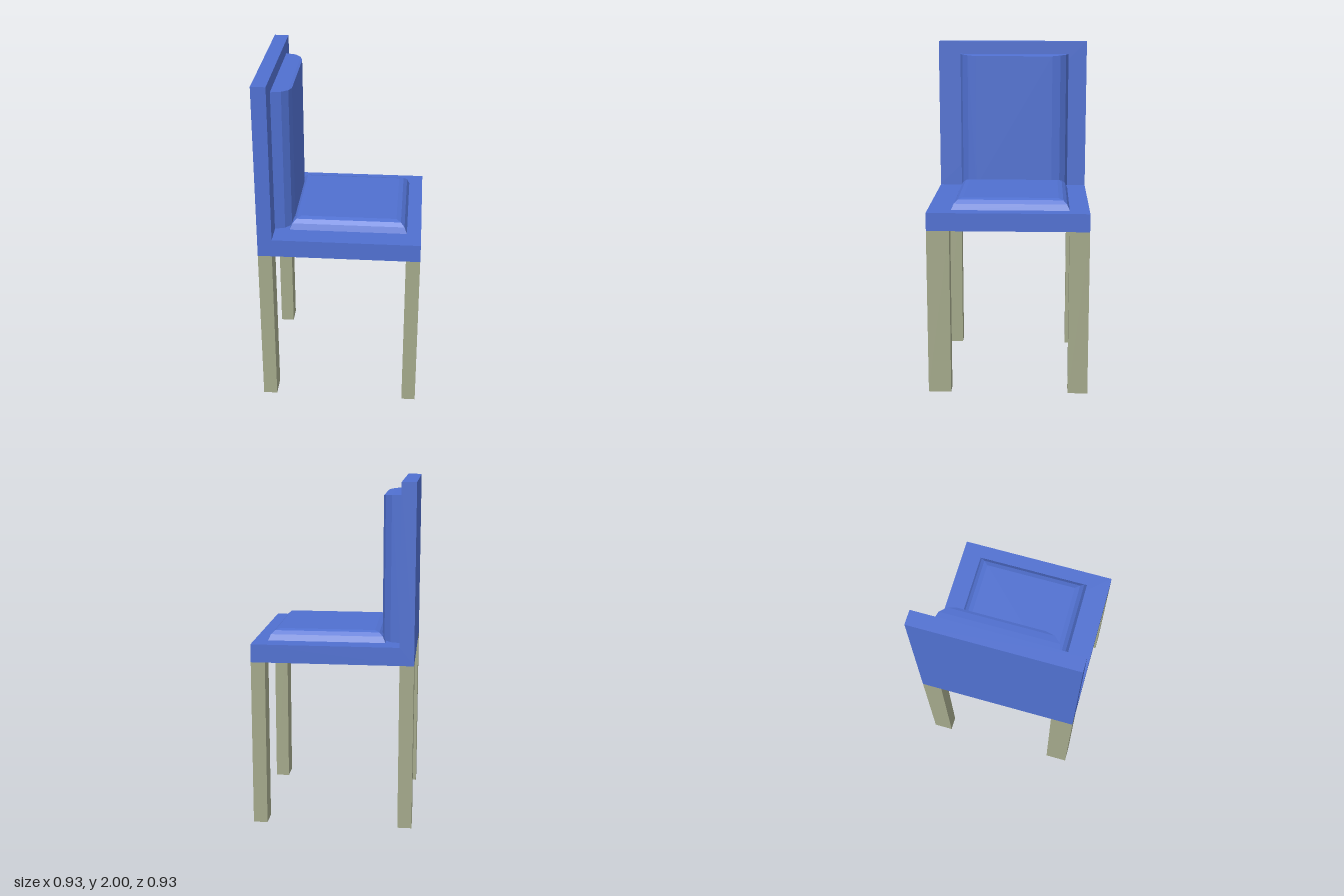
import * as THREE from 'three';

const blue = new THREE.MeshStandardMaterial({ color: 0x5070d0, flatShading: true });
const olive = new THREE.MeshStandardMaterial({ color: 0xa3a88a, flatShading: true });

function addMesh(parent, name, geometry, material) {
  const mesh = new THREE.Mesh(geometry, material);
  mesh.name = name;
  parent.add(mesh);
  return mesh;
}

// Mitred pad in the local XY plane, rising along +Z.
// Each step is [inset in x, inset in y, height].
function padGeometry(width, depth, steps) {
  const positions = [];
  const index = [];
  for (const [ix, iy, h] of steps) {
    const a = width / 2 - ix, b = depth / 2 - iy;
    positions.push(-a, -b, h, a, -b, h, a, b, h, -a, b, h);
  }
  for (let s = 0; s < steps.length - 1; s++) {
    for (let i = 0; i < 4; i++) {
      const p = s * 4 + i, q = s * 4 + (i + 1) % 4;
      index.push(p, q, q + 4, p, q + 4, p + 4);
    }
  }
  const t = (steps.length - 1) * 4;
  index.push(t, t + 1, t + 2, t, t + 2, t + 3);
  const geometry = new THREE.BufferGeometry();
  geometry.setAttribute('position', new THREE.Float32BufferAttribute(positions, 3));
  geometry.setIndex(index);
  const flat = geometry.toNonIndexed();
  flat.computeVertexNormals();
  return flat;
}

export function createModel() {
  const chair = new THREE.Group();
  chair.name = 'chair';

  // Seat slab and backrest, one L-shaped section
  const section = new THREE.Shape([
    [-0.467, 0.975], [0.467, 0.975], [0.467, 1.08],
    [-0.383, 1.08], [-0.383, 2], [-0.467, 2],
  ].map(([x, y]) => new THREE.Vector2(x, y)));
  const frame = new THREE.ExtrudeGeometry(section, { depth: 0.934, bevelEnabled: false });
  frame.translate(0, 0, -0.467);
  addMesh(chair, 'seatAndBackrest', frame, blue);

  // Underside panel
  const under = addMesh(chair, 'seatUnderside', new THREE.PlaneGeometry(0.934, 0.934), olive);
  under.rotation.x = Math.PI / 2;
  under.position.y = 0.973;

  // Four legs, flush with the seat corners
  for (const sx of [-1, 1]) {
    for (const [sz, depth] of [[-1, 0.116], [1, 0.132]]) {
      const leg = addMesh(chair, sx > 0 ? 'frontLeg' : 'backLeg',
        new THREE.BoxGeometry(0.082, 0.975, depth), olive);
      leg.position.set(sx * (0.467 - 0.041), 0.4875, sz * (0.467 - depth / 2));
    }
  }

  // Seat cushion with rounded, mitred edges
  const seatPad = addMesh(chair, 'seatCushion', padGeometry(0.682, 0.683, [
    [0, 0, 0], [0.015, 0.015, 0.034], [0.037, 0.037, 0.054], [0.064, 0.064, 0.062],
  ]), blue);
  seatPad.rotation.x = -Math.PI / 2;
  seatPad.position.set(0.044, 1.08, -0.011);

  // Back cushion, rounded at the sides and nearly square at top and bottom
  const backPad = addMesh(chair, 'backCushion', padGeometry(0.683, 0.84, [
    [0, 0, 0], [0.016, 0.001, 0.058], [0.052, 0.004, 0.094], [0.102, 0.008, 0.108],
  ]), blue);
  backPad.rotation.y = Math.PI / 2;
  backPad.position.set(-0.383, 1.502, -0.011);

  return chair;
}
